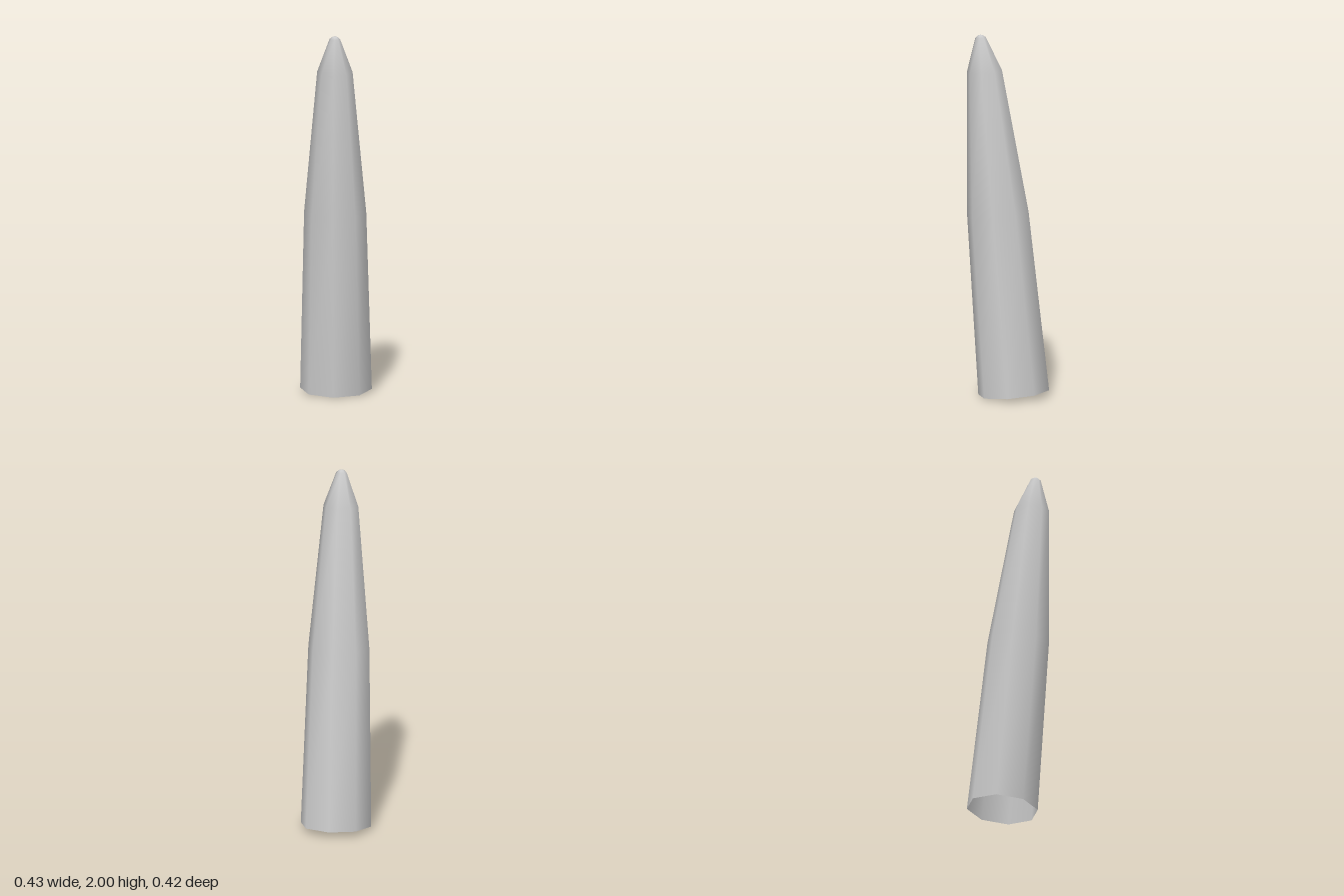
import * as THREE from 'three';

const SIDES = 8;
const TWIST = 0.13; // angle of the first corner
// Cross-sections from base to tip: centre x, y, z and radius
const RINGS = [
  [0.02, 0.018, -0.017, 0.196],
  [-0.048, 1.01, 0.038, 0.17],
  [-0.104, 1.8, 0.086, 0.097],
  [-0.12, 1.985, 0.1, 0.029],
  [-0.121, 1.997, 0.101, 0.014],
  [-0.121, 2.0, 0.101, 0],
];

// Leaning, tapering tube: every ring is tilted square to the leaning axis
function taperedTube(rings) {
  const positions = [], index = [];
  rings.forEach(([cx, cy, cz, r], level) => {
    if (r === 0) { positions.push(cx, cy, cz); return; }
    for (let i = 0; i < SIDES; i++) {
      const a = TWIST + (i / SIDES) * Math.PI * 2;
      const dx = r * Math.cos(a), dz = r * Math.sin(a);
      positions.push(cx + dx, cy + 0.07 * dx - 0.06 * dz, cz + dz);
    }
    const next = rings[level + 1];
    for (let i = 0; i < SIDES; i++) {
      const j = (i + 1) % SIDES, lo = level * SIDES, hi = lo + SIDES;
      if (next[3] === 0) index.push(lo + i, hi, lo + j);
      else index.push(lo + i, hi + i, lo + j, lo + j, hi + i, hi + j);
    }
  });
  const geometry = new THREE.BufferGeometry();
  geometry.setAttribute('position', new THREE.Float32BufferAttribute(positions, 3));
  geometry.setIndex(index);
  geometry.computeVertexNormals();
  return geometry;
}

export function createModel() {
  const model = new THREE.Group();
  model.name = 'spike';
  // Hollow shell, open at the base and closed at the rounded tip
  const material = new THREE.MeshStandardMaterial({ color: 0xcccccc, side: THREE.DoubleSide });
  const shell = new THREE.Mesh(taperedTube(RINGS), material);
  shell.name = 'spikeShell';
  model.add(shell);
  return model;
}
